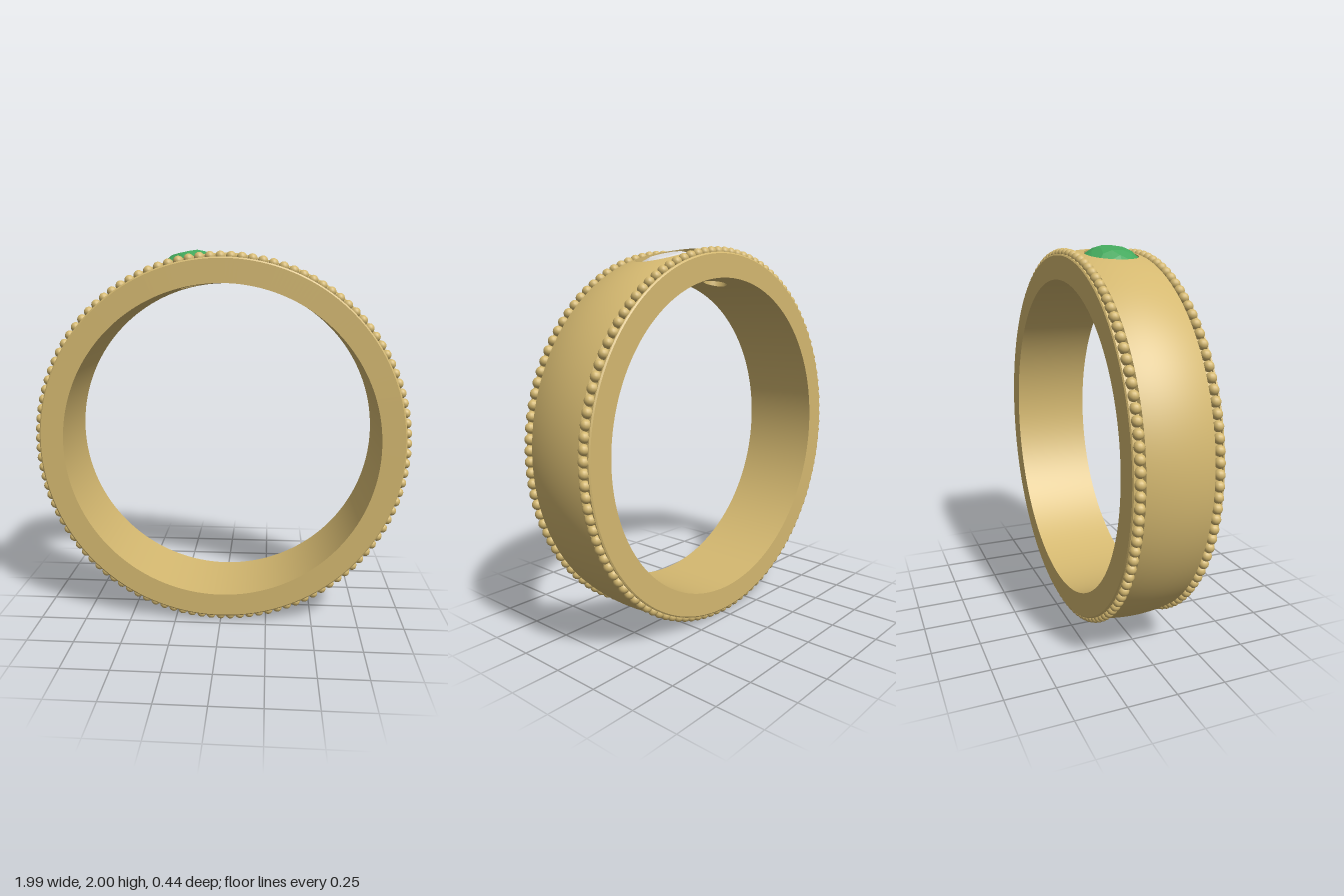
import * as THREE from 'three';
import { toCreasedNormals } from 'three/addons/utils/BufferGeometryUtils.js';
import { ConvexGeometry } from 'three/addons/geometries/ConvexGeometry.js';

const SEG = 256, ROWS = 16, HALF = 8;        // band grid and setting size in cells
const ZS = 0.165, R_IN = 0.8365;             // half width of the domed strip, bore radius
const STEP = (Math.PI * 2) / SEG;
const domeR = (z) => 0.991 - 0.65 * z * z;

// cell: angle around the band in grid steps; a, b: half sizes; girdle/crown/depth: radial heights
const GEMS = [
  { name: 'roundGreenGem', cell: -8, a: 0.134, b: 0.134, girdle: 0.972, crown: 0.04, depth: 0.105, bore: [0.065, 0.065] },
  { name: 'ovalClearGem', cell: 10, a: 0.173, b: 0.135, girdle: 0.944, crown: 0.034, depth: 0.08, bore: [0.07, 0.06] },
];

// point from angle (0 = top, towards +x), radius and z
const polar = (t, r, z) => [r * Math.sin(t), r * Math.cos(t), z];

// closed cross-section of the band as [z, radius]
function bandProfile() {
  const p = [];
  for (let j = 0; j <= ROWS; j++) {
    const z = -ZS + (2 * ZS * j) / ROWS;
    p.push([z, domeR(z)]);
  }
  const edge = [[0.172, 0.955], [0.208, 0.955], [0.21, 0.964], [0.217, 0.964], [0.222, 0.957], [0.222, R_IN]];
  p.push(...edge);
  for (let j = 0; j <= ROWS; j++) p.push([ZS - (2 * ZS * j) / ROWS, R_IN]);
  p.push(...edge.map(([z, r]) => [-z, r]).reverse());
  return p;
}

// the k-th point around a unit square, counter-clockwise
function squarePoint(k) {
  const f = ((k % ROWS) / ROWS) * 2 - 1;
  return [[1, f], [-f, 1], [-1, -f], [f, -1]][Math.floor(k / ROWS) % 4];
}

function bandGeometry() {
  const pos = [];
  const quad = (a, b, c, d) => pos.push(...a, ...b, ...c, ...c, ...b, ...d);

  // swept band, leaving out the cells around each setting
  const prof = bandProfile(), n = prof.length;
  const innerStart = ROWS + 7;
  for (let i = 0; i < SEG; i++) {
    const open = GEMS.some((g) => (i - g.cell + HALF + SEG) % SEG < 2 * HALF);
    for (let j = 0; j < n; j++) {
      const strip = j < ROWS || (j >= innerStart && j < innerStart + ROWS);
      if (open && strip) continue;
      const [z0, r0] = prof[j], [z1, r1] = prof[(j + 1) % n];
      const t0 = i * STEP, t1 = (i + 1) * STEP;
      quad(polar(t0, r0, z0), polar(t0, r1, z1), polar(t1, r0, z0), polar(t1, r1, z1));
    }
  }

  // settings: band surface -> seat -> bore -> inner surface
  for (const g of GEMS) {
    const tc = g.cell * STEP, count = ROWS * 4, fine = 4;
    const columns = [];
    for (let k = 0; k < count; k++) {
      const [sx, sz] = squarePoint(k), phi = Math.atan2(sz, sx);
      const c = Math.cos(phi), s = Math.sin(phi);
      const local = (u, h, z) => polar(tc + Math.atan2(u, h), Math.hypot(u, h), z);
      const onSurface = (a, b, f, radius) => {
        const z = THREE.MathUtils.lerp(sz * ZS, b * s, f);
        const r = radius(z);
        return polar(tc + THREE.MathUtils.lerp(sx * HALF * STEP, Math.asin((a * c) / r), f), r, z);
      };
      const a = g.a + 0.004, b = g.b + 0.003, [ba, bb] = g.bore;
      const col = [];
      for (let m = 0; m <= fine; m++) col.push(onSurface(a, b, m / fine, domeR));
      col.push(local(a * c, g.girdle - 0.01, b * s), local(ba * c, 0.865, bb * s));
      for (let m = fine; m >= 0; m--) col.push(onSurface(ba, bb, m / fine, () => R_IN));
      columns.push(col);
    }
    for (let k = 0; k < count; k++) {
      const A = columns[k], B = columns[(k + 1) % count];
      for (let m = 0; m < A.length - 1; m++) quad(A[m], A[m + 1], B[m], B[m + 1]);
    }
  }

  // enlarged while smoothing so that close vertices stay distinct
  const geo = new THREE.BufferGeometry();
  geo.setAttribute('position', new THREE.Float32BufferAttribute(pos, 3));
  geo.scale(100, 100, 100);
  const smooth = toCreasedNormals(geo, 0.5);
  smooth.scale(0.01, 0.01, 0.01);
  return smooth;
}

// faceted brilliant cut
function gemGeometry(g) {
  const pts = [];
  const ring = (sides, r, h, turn) => {
    for (let i = 0; i < sides; i++) {
      const t = ((i + turn) / sides) * Math.PI * 2;
      pts.push(new THREE.Vector3(Math.cos(t) * r * g.a, h, Math.sin(t) * r * g.b));
    }
  };
  ring(8, 0.55, g.crown, 0.5);
  ring(8, 0.8, g.crown * 0.6, 0);
  ring(16, 1, 0.003, 0);
  ring(16, 1, -0.003, 0);
  ring(8, 0.52, -g.depth * 0.54, 0.5);
  pts.push(new THREE.Vector3(0, -g.depth, 0));
  return new ConvexGeometry(pts);
}

export function createModel() {
  const gold = new THREE.MeshStandardMaterial({ color: 0xd4b870 });
  gold.name = 'gold';
  const green = new THREE.MeshStandardMaterial({ color: 0x43a85c });
  green.name = 'green';
  const clear = new THREE.MeshStandardMaterial({ color: 0xdcdcde });
  clear.name = 'clear';

  const model = new THREE.Group();
  model.name = 'ring';
  const add = (geo, mat, name) => {
    const mesh = new THREE.Mesh(geo, mat);
    mesh.name = name;
    mesh.position.y = 0.993;
    model.add(mesh);
    return mesh;
  };

  add(bandGeometry(), gold, 'band');

  // gems in their settings
  GEMS.forEach((g, i) => {
    const gem = add(gemGeometry(g), i ? clear : green, g.name);
    const t = g.cell * STEP;
    gem.position.x = g.girdle * Math.sin(t);
    gem.position.y += g.girdle * Math.cos(t);
    gem.rotation.z = -t;
  });

  // rows of beads along both edges
  const BEADS = 114, bead = new THREE.SphereGeometry(0.026, 14, 10);
  for (const side of [1, -1]) {
    const row = new THREE.Group();
    row.name = side > 0 ? 'frontBeads' : 'backBeads';
    row.position.y = 0.993;
    for (let i = 0; i < BEADS; i++) {
      const mesh = new THREE.Mesh(bead, gold);
      mesh.name = 'bead';
      mesh.position.set(...polar((i / BEADS) * Math.PI * 2, 0.967, side * 0.19));
      row.add(mesh);
    }
    model.add(row);
  }
  return model;
}
